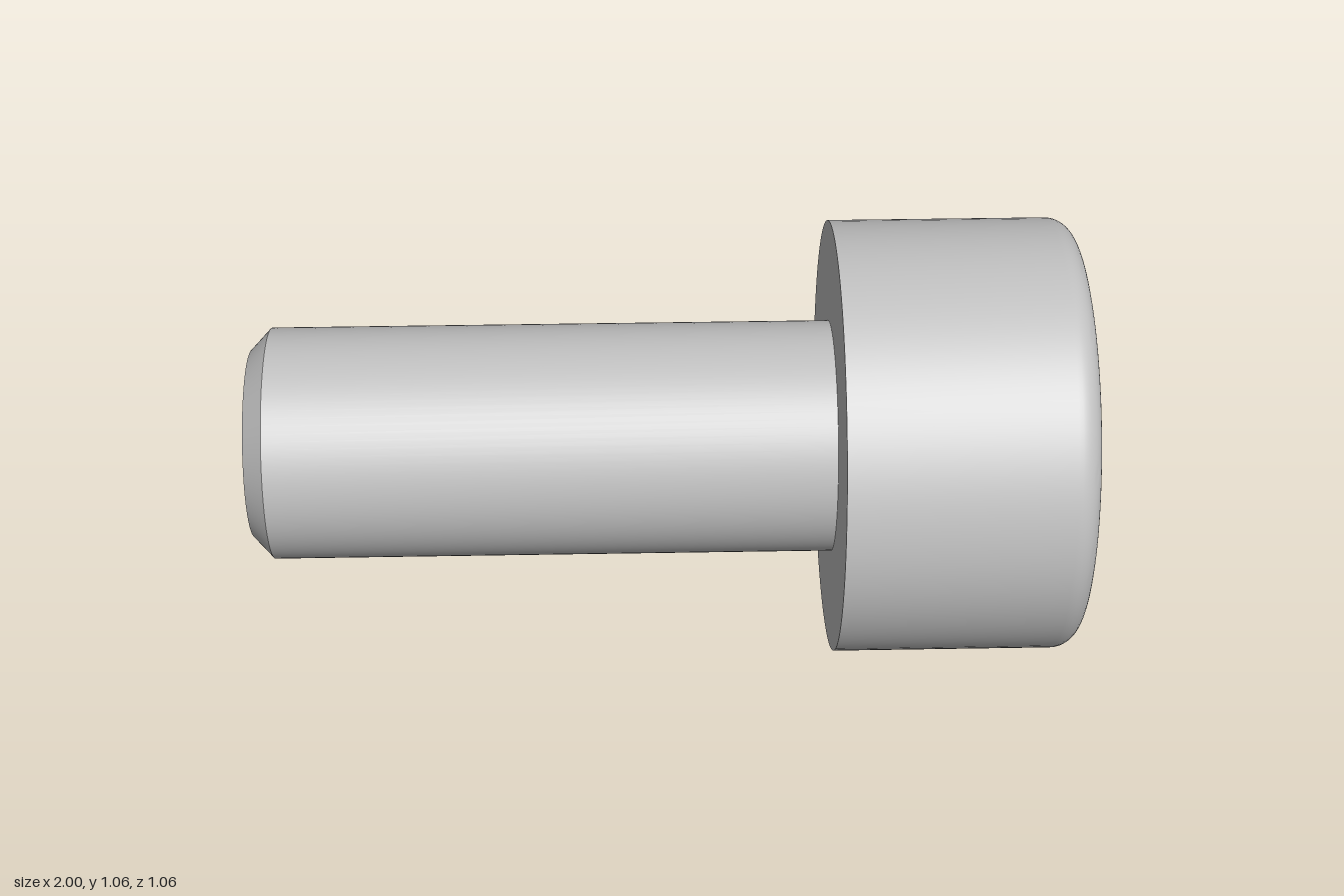
import * as THREE from 'three';
import { toCreasedNormals } from 'three/addons/utils/BufferGeometryUtils.js';

const HEAD_R = 0.528, SHANK_R = 0.283, TIP_R = 0.23, FILLET = 0.06;
const HEAD_X = 0.41, TIP_X = -1, CHAMFER_X = -0.95, FACE_X = 1;
const HEX_R = 0.272, HEX_DEPTH = 0.3;
const SEGMENTS = 96;

export function createModel() {
  const steel = new THREE.MeshStandardMaterial({ color: 0xc0c0c0 });
  steel.name = 'steel grey';

  const screw = new THREE.Group();
  screw.name = 'socketHeadScrew';

  const add = (name, geometry) => {
    const mesh = new THREE.Mesh(geometry, steel);
    mesh.name = name;
    screw.add(mesh);
    return mesh;
  };

  // Turned part along x from [x, radius] pairs, with sharp edges kept
  const turned = (profile) => {
    const points = profile.map(([x, r]) => new THREE.Vector2(r, x));
    const g = new THREE.LatheGeometry(points, SEGMENTS).rotateZ(-Math.PI / 2);
    return toCreasedNormals(g, 0.5);
  };

  // Shank with chamfered tip
  add('shank', turned([[TIP_X, 0], [TIP_X, TIP_R], [CHAMFER_X, SHANK_R], [HEAD_X, SHANK_R]]));

  // Head underside, side and rounded rim
  const head = [[HEAD_X, SHANK_R], [HEAD_X, HEAD_R]];
  for (let i = 0; i <= 10; i++) {
    const a = (i / 10) * Math.PI / 2;
    head.push([FACE_X - FILLET + FILLET * Math.sin(a), HEAD_R - FILLET + FILLET * Math.cos(a)]);
  }
  add('head', turned(head));

  // Flat head face with hexagonal opening
  const face = new THREE.Shape().absarc(0, 0, HEAD_R - FILLET, 0, Math.PI * 2);
  const hex = [];
  for (let i = 0; i < 6; i++) {
    const a = Math.PI / 2 - i * Math.PI / 3;
    hex.push(new THREE.Vector2(HEX_R * Math.cos(a), HEX_R * Math.sin(a)));
  }
  face.holes.push(new THREE.Path(hex));
  add('headFace', new THREE.ShapeGeometry(face, SEGMENTS / 2).rotateY(Math.PI / 2)).position.x = FACE_X;

  // Socket walls: negative height turns the faces inward
  const walls = new THREE.CylinderGeometry(HEX_R, HEX_R, -HEX_DEPTH, 6, 1, true, Math.PI / 2)
    .rotateZ(-Math.PI / 2).toNonIndexed();
  walls.computeVertexNormals();
  add('socketWalls', walls).position.x = FACE_X - HEX_DEPTH / 2;

  // Socket floor
  add('socketFloor', new THREE.CircleGeometry(HEX_R, 6, Math.PI / 2).rotateY(Math.PI / 2))
    .position.x = FACE_X - HEX_DEPTH;

  // Rest the head on the ground
  screw.children.forEach((mesh) => { mesh.position.y = HEAD_R; });
  return screw;
}
